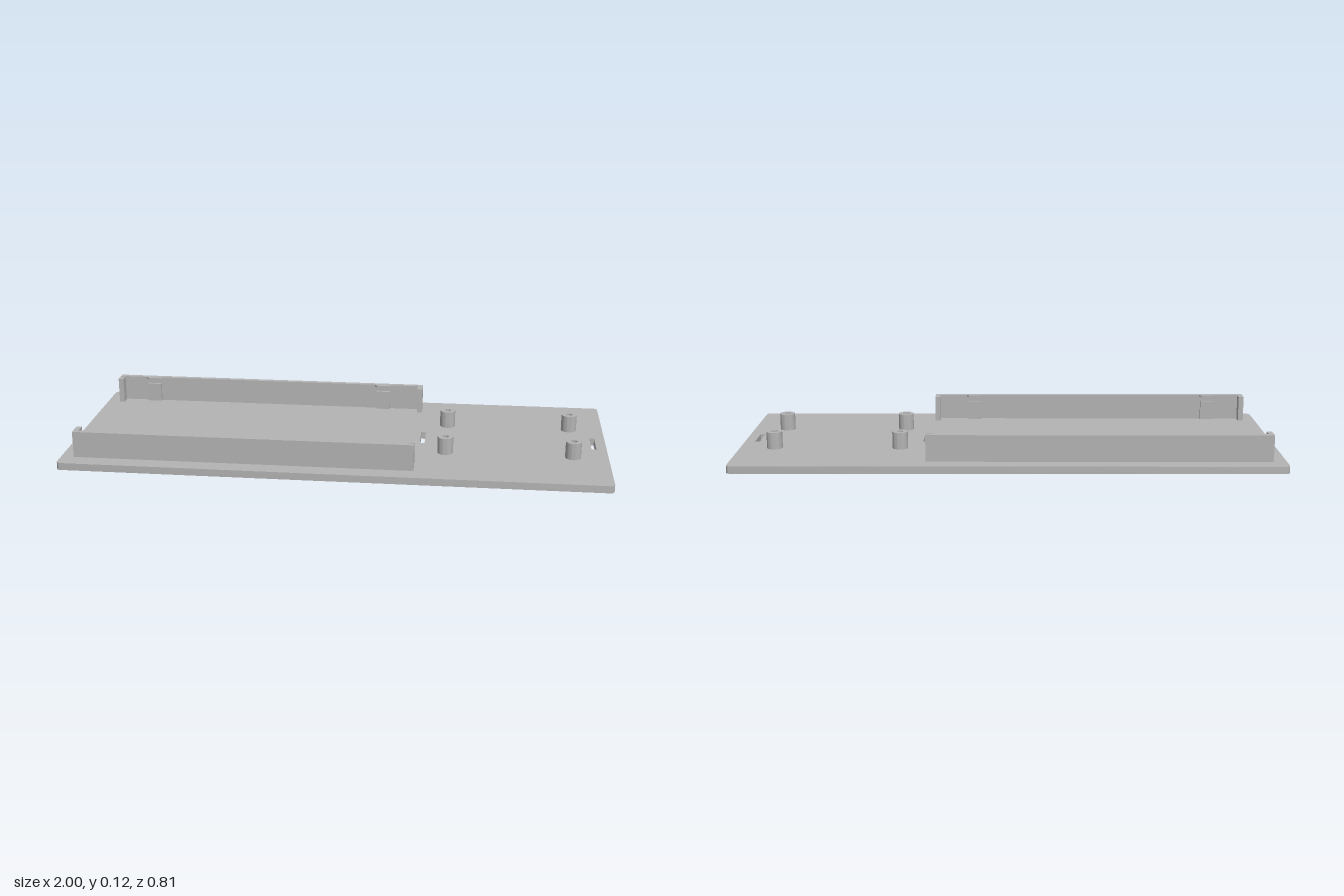
import * as THREE from 'three';
import { toCreasedNormals } from 'three/addons/utils/BufferGeometryUtils.js';

export function createModel() {
  const model = new THREE.Group();
  model.name = 'mountingTray';
  const grey = new THREE.MeshStandardMaterial({ name: 'grey plastic', color: 0xb3b3b3 });
  const plateTop = 0.027, railTop = 0.125;

  const add = (parent, name, geometry, x = 0, y = 0, z = 0) => {
    const mesh = new THREE.Mesh(geometry, grey);
    mesh.name = name;
    mesh.position.set(x, y, z);
    parent.add(mesh);
    return mesh;
  };
  // box given by its extents
  const block = (parent, name, x0, x1, y0, y1, z0, z1) =>
    add(parent, name, new THREE.BoxGeometry(x1 - x0, y1 - y0, Math.abs(z1 - z0)),
      (x0 + x1) / 2, (y0 + y1) / 2, (z0 + z1) / 2);
  // flat outline in x and -z, raised along y
  const slab = (shape, height) =>
    new THREE.ExtrudeGeometry(shape, { depth: height, bevelEnabled: false, curveSegments: 6 })
      .rotateX(-Math.PI / 2);

  // base plate with rounded corners and two through slots
  const w = 1, d = 0.403, r = 0.016;
  const outline = new THREE.Shape();
  outline.absarc(w - r, d - r, r, 0, Math.PI / 2);
  outline.absarc(-w + r, d - r, r, Math.PI / 2, Math.PI);
  outline.absarc(-w + r, -d + r, r, Math.PI, Math.PI * 1.5);
  outline.absarc(w - r, -d + r, r, Math.PI * 1.5, Math.PI * 2);
  for (const x of [0.313, 0.953]) {
    outline.holes.push(new THREE.Path([
      [x - 0.009, -0.057], [x - 0.009, 0.057], [x + 0.009, 0.057], [x + 0.009, -0.057],
    ].map(p => new THREE.Vector2(...p))));
  }
  add(model, 'basePlate', toCreasedNormals(slab(outline, plateTop), 0.6));

  // hollow screw posts
  const postProfile = [[0.029, 0], [0.029, 0.063], [0.012, 0.063], [0.012, 0]]
    .map(p => new THREE.Vector2(...p));
  const postGeometry = toCreasedNormals(new THREE.LatheGeometry(postProfile, 32), 0.6);
  for (const x of [0.402, 0.87]) {
    for (const z of [-0.144, 0.144]) add(model, 'screwPost', postGeometry, x, plateTop, z);
  }

  // side rails with end stops, support ledges and snap lips
  for (const s of [-1, 1]) {
    const rail = new THREE.Group();
    rail.name = s > 0 ? 'frontRail' : 'backRail';
    model.add(rail);
    block(rail, 'railWall', -0.952, 0.295, plateTop, railTop, s * 0.32, s * 0.339);
    for (const x of [-0.952, 0.275]) {
      block(rail, 'endStop', x, x + 0.02, plateTop, railTop, s * 0.282, s * 0.316);
    }
    for (const x of [-0.81, 0.135]) {
      block(rail, 'supportLedge', x - 0.028, x + 0.028, plateTop, 0.1, s * 0.309, s * 0.32);
      const lip = new THREE.Shape([
        [x - 0.034, -s * 0.32], [x - 0.024, -s * 0.309], [x + 0.024, -s * 0.309], [x + 0.034, -s * 0.32],
      ].map(p => new THREE.Vector2(...p)));
      add(rail, 'snapLip', slab(lip, 0.008), 0, railTop - 0.008, 0);
    }
  }
  return model;
}
